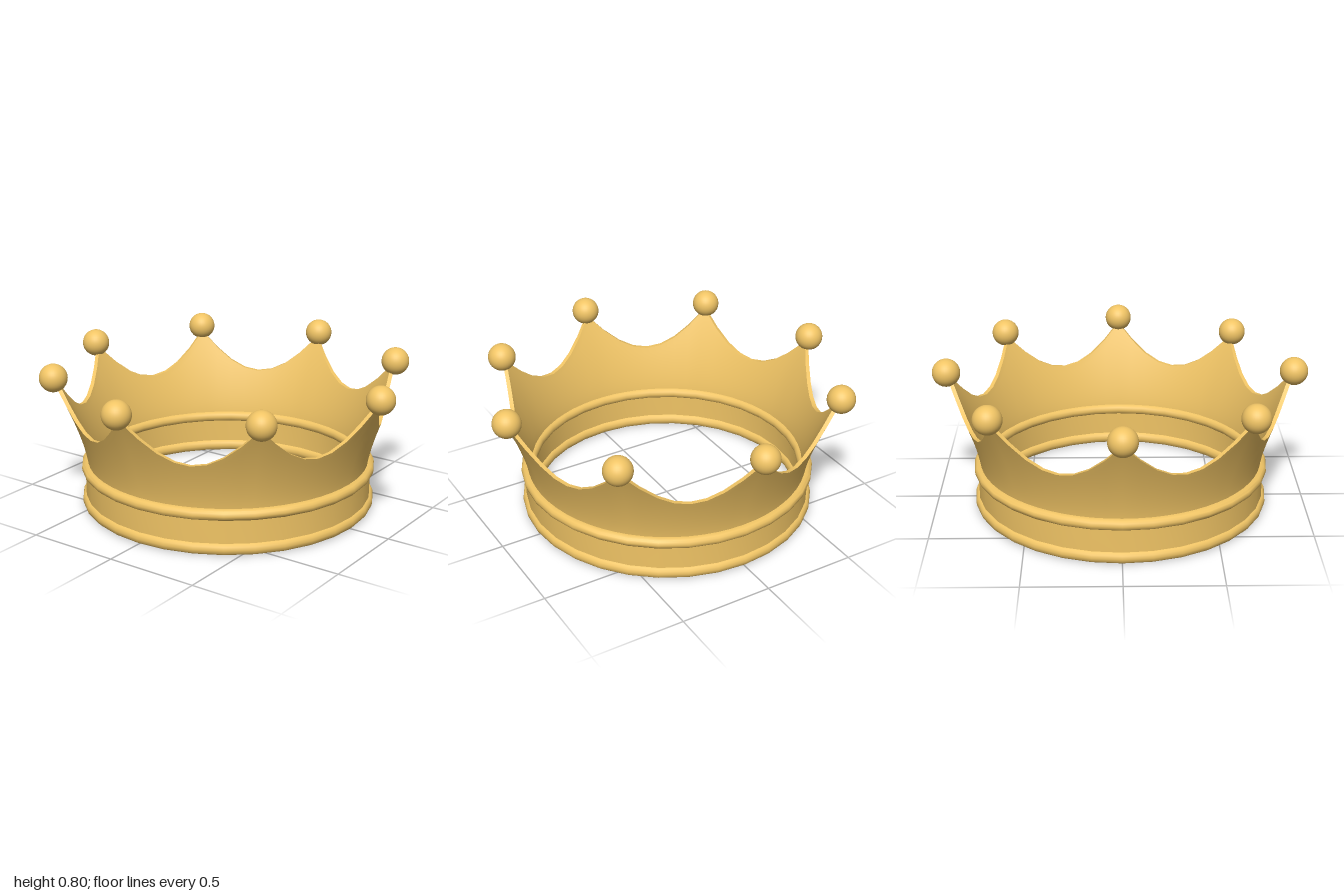
import * as THREE from 'three';
import { toCreasedNormals } from 'three/addons/utils/BufferGeometryUtils.js';

const POINTS = 8;
const gold = new THREE.MeshStandardMaterial({ color: 0xf0c465 });

function add(group, name, geometry) {
  const mesh = new THREE.Mesh(geometry, gold);
  mesh.name = name;
  group.add(mesh);
  return mesh;
}

// Closed ring turned from a counter-clockwise list of [radius, height]
function ring(profile) {
  const pts = [...profile, profile[0]].map(([r, y]) => new THREE.Vector2(r, y));
  return toCreasedNormals(new THREE.LatheGeometry(pts, 32), 0.9);
}

// Rounded moulding: an oval section around radius r
function moulding(r, y, halfWidth, halfHeight) {
  const profile = [];
  for (let i = 0; i < 14; i++) {
    const a = Math.PI + (i / 14) * Math.PI * 2;
    const soft = (v) => Math.sign(v) * Math.abs(v) ** 0.8;
    profile.push([r + halfWidth * soft(Math.cos(a)), y + halfHeight * soft(Math.sin(a))]);
  }
  return ring(profile);
}

// Flared wall whose upper edge is scalloped between the points
function flaredWall() {
  const columns = POINTS * 8, rows = 10, base = 0.2, thickness = 0.022;
  const flare = (y) => 0.755 + 0.467 * (y - base) ** 1.5;
  const loop = 2 * (rows + 1);
  const positions = [], index = [];
  for (let i = 0; i <= columns; i++) {
    const angle = (i / columns) * Math.PI * 2;
    const t = Math.abs(((i / 8 + 0.5) % 1) - 0.5) * 2; // 0 at a point, 1 in a valley
    const top = 0.485 + 0.22 * (1 - t) ** 2;
    for (let k = 0; k < loop; k++) {
      const outer = k <= rows;
      const y = base + (top - base) * ((outer ? k : loop - 1 - k) / rows);
      const r = flare(y) - (outer ? 0 : thickness);
      positions.push(r * Math.sin(angle), y, r * Math.cos(angle));
    }
  }
  for (let i = 0; i < columns; i++) {
    for (let k = 0; k < loop; k++) {
      const next = (k + 1) % loop;
      const a = i * loop + k, b = (i + 1) * loop + k;
      const c = (i + 1) * loop + next, d = i * loop + next;
      index.push(a, b, c, a, c, d);
    }
  }
  const geometry = new THREE.BufferGeometry();
  geometry.setAttribute('position', new THREE.Float32BufferAttribute(positions, 3));
  geometry.setIndex(index);
  return toCreasedNormals(geometry, 0.8);
}

export function createModel() {
  const crown = new THREE.Group();
  crown.name = 'crown';

  // Base band with a moulding below and above
  add(crown, 'band', ring([[0.735, 0.03], [0.775, 0.03], [0.775, 0.22], [0.735, 0.22]]));
  add(crown, 'lowerMoulding', moulding(0.755, 0.034, 0.04, 0.033));
  add(crown, 'upperMoulding', moulding(0.755, 0.215, 0.04, 0.03));

  add(crown, 'flaredWall', flaredWall());

  // A ball on every point
  const balls = new THREE.Group();
  balls.name = 'balls';
  crown.add(balls);
  const ballGeometry = new THREE.SphereGeometry(0.075, 32, 20);
  for (let i = 0; i < POINTS; i++) {
    const a = (i / POINTS) * Math.PI * 2;
    add(balls, 'ball', ballGeometry).position.set(0.925 * Math.sin(a), 0.73, 0.925 * Math.cos(a));
  }
  return crown;
}
